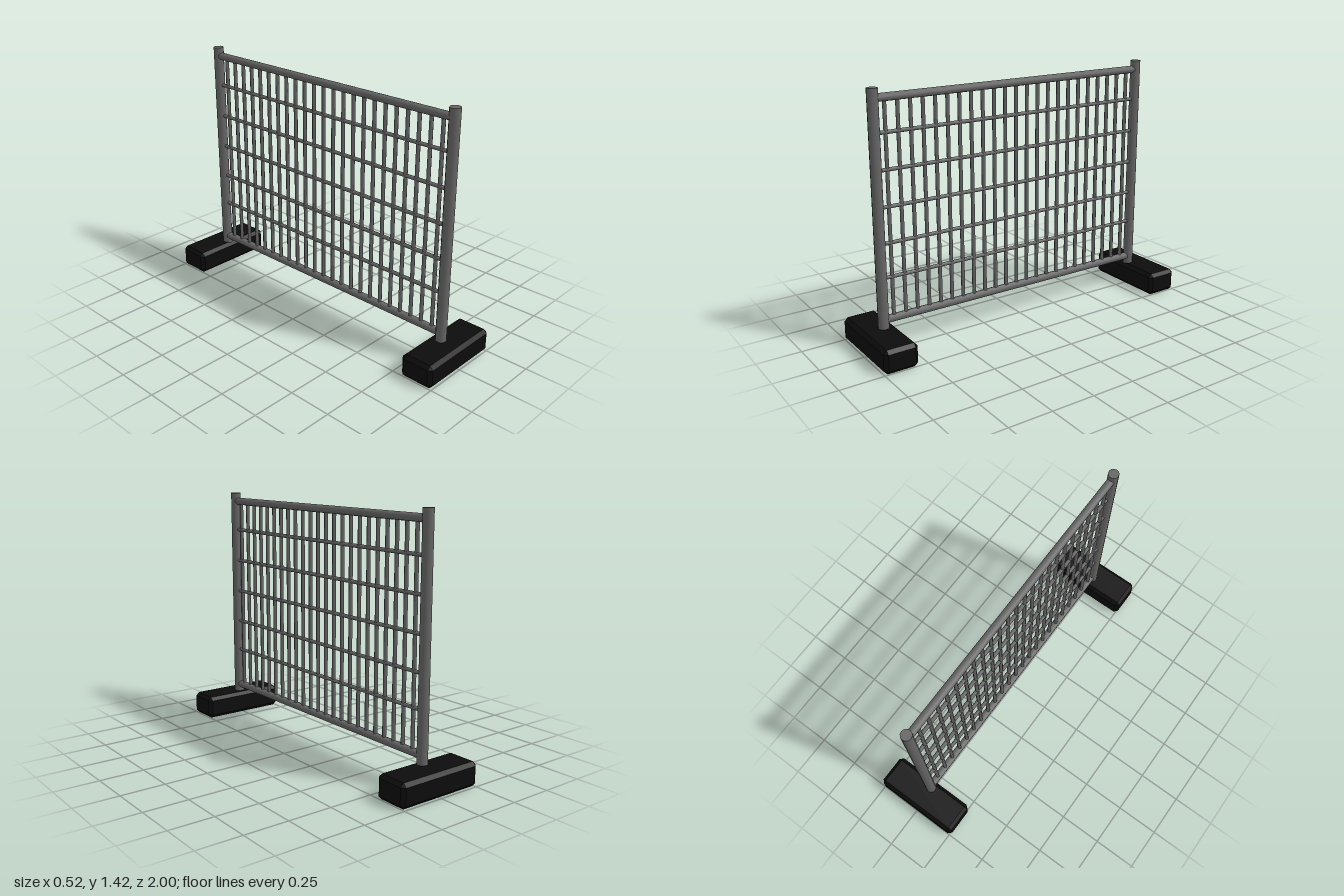
import * as THREE from 'three';
import { ConvexGeometry } from 'three/addons/geometries/ConvexGeometry.js';

const steel = new THREE.MeshStandardMaterial({ color: 0x666666 });
steel.name = 'greySteel';
const rubber = new THREE.MeshStandardMaterial({ color: 0x0c0c0c });
rubber.name = 'blackRubber';

const PANEL_X = -0.008;
const BACK_POST = -0.85, FRONT_POST = 0.875;

function add(parent, name, geometry, material, x, y, z) {
  const mesh = new THREE.Mesh(geometry, material);
  mesh.name = name;
  mesh.position.set(x, y, z);
  parent.add(mesh);
  return mesh;
}

// Box with every edge cut off at an angle
function chamferedBox(w, h, d, c) {
  const points = [];
  for (const sx of [-1, 1]) for (const sy of [-1, 1]) for (const sz of [-1, 1]) {
    const x = w / 2, y = h / 2, z = d / 2;
    points.push(
      new THREE.Vector3(sx * x, sy * (y - c), sz * (z - c)),
      new THREE.Vector3(sx * (x - c), sy * y, sz * (z - c)),
      new THREE.Vector3(sx * (x - c), sy * (y - c), sz * z));
  }
  return new ConvexGeometry(points);
}

export function createModel() {
  const fence = new THREE.Group();
  fence.name = 'fencePanel';

  // Feet and posts
  const footGeometry = chamferedBox(0.52, 0.135, 0.195, 0.02);
  const postGeometry = new THREE.CylinderGeometry(0.03, 0.03, 1.375, 12);
  for (const side of [-1, 1]) {
    add(fence, 'foot', footGeometry, rubber, 0, 0.0675, side * 0.9025);
    const z = side < 0 ? BACK_POST : FRONT_POST;
    add(fence, 'post', postGeometry, steel, PANEL_X, 0.7375, z);
  }

  // Horizontal tubes between the posts
  const length = FRONT_POST - BACK_POST - 0.04;
  const middle = (FRONT_POST + BACK_POST) / 2;
  const railGeometry = new THREE.CylinderGeometry(0.022, 0.022, length, 10).rotateX(Math.PI / 2);
  const wireGeometry = new THREE.CylinderGeometry(0.011, 0.011, length, 8).rotateX(Math.PI / 2);
  for (const y of [0.18, 1.373]) add(fence, 'rail', railGeometry, steel, PANEL_X, y, middle);
  for (const y of [0.415, 0.605, 0.802, 0.999, 1.194]) {
    add(fence, 'crossWire', wireGeometry, steel, PANEL_X, y, middle);
  }

  // Upright bars
  const barGeometry = new THREE.CylinderGeometry(0.011, 0.011, 1.165, 8);
  const count = 23;
  for (let i = 0; i < count; i++) {
    const z = THREE.MathUtils.lerp(-0.777, 0.812, i / (count - 1));
    add(fence, 'uprightBar', barGeometry, steel, PANEL_X, 0.7775, z);
  }
  return fence;
}
